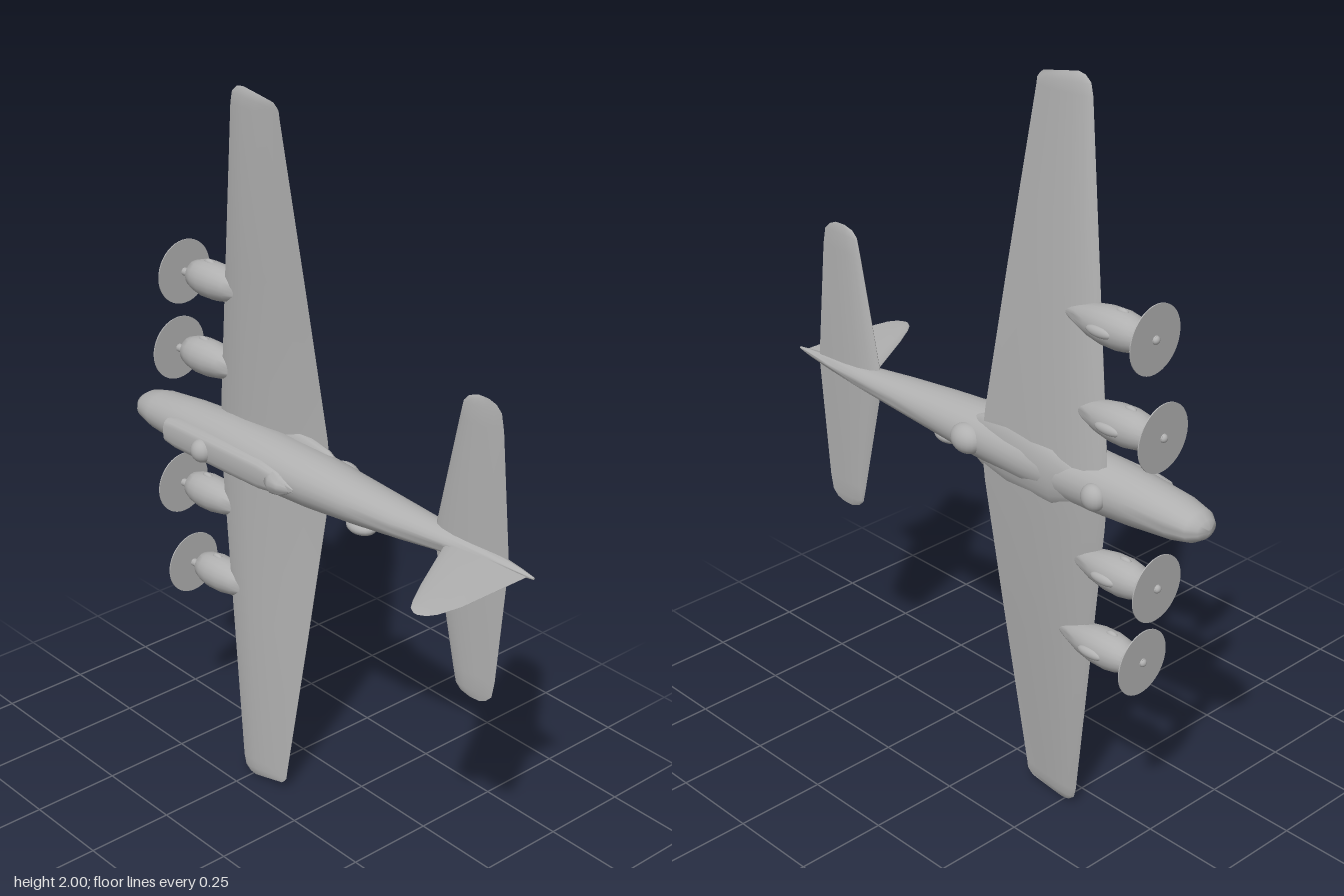
import * as THREE from 'three';
import { toCreasedNormals, mergeVertices } from 'three/addons/utils/BufferGeometryUtils.js';

// Skin a list of equal-sized closed rings, capping both ends; faces always point outward.
function loft(rings, crease = 0.6) {
  const n = rings[0].length, pos = rings.flat().flat(), idx = [];
  for (let i = 0; i < rings.length - 1; i++) {
    for (let j = 0; j < n; j++) {
      const a = i * n + j, b = i * n + (j + 1) % n;
      idx.push(a, b, b + n, a, b + n, a + n);
    }
  }
  [0, rings.length - 1].forEach((r, end) => {
    const c = pos.length / 3;
    for (let k = 0; k < 3; k++) pos.push(rings[r].reduce((s, p) => s + p[k], 0) / n);
    for (let j = 0; j < n; j++) {
      const a = r * n + j, b = r * n + (j + 1) % n;
      if (end) idx.push(a, b, c); else idx.push(b, a, c);
    }
  });
  // Signed volume tells which way the faces wind
  const v = i => new THREE.Vector3().fromArray(pos, i * 3);
  let volume = 0;
  for (let i = 0; i < idx.length; i += 3) volume += v(idx[i]).dot(v(idx[i + 1]).cross(v(idx[i + 2])));
  if (volume < 0) idx.reverse();
  const g = new THREE.BufferGeometry();
  g.setAttribute('position', new THREE.Float32BufferAttribute(pos, 3));
  g.setIndex(idx);
  return toCreasedNormals(mergeVertices(g), crease);
}

// Ring across the x axis; power below 1 squares the corners
function hoop(x, y, z, hy, hz, n = 24, power = 1) {
  const soft = t => Math.sign(t) * Math.abs(t) ** power;
  return Array.from({ length: n }, (_, i) => {
    const a = i / n * Math.PI * 2;
    return [x, y + hy * soft(Math.cos(a)), z + hz * soft(Math.sin(a))];
  });
}

// Aerofoil outline in chord fraction and half thickness
const FOIL = [[0, 0], [0.03, 0.45], [0.12, 0.85], [0.3, 1], [0.55, 0.8], [0.8, 0.38], [1, 0.03]];
const OUTLINE = [...FOIL, ...FOIL.slice(1).reverse().map(([c, t]) => [c, -t])];

// Wing panel from sections [span, xLead, xTrail, zLead, zTrail, halfThickness, tipRake]
function panel(sections, side) {
  return loft(sections.map(([y, x0, x1, z0, z1, h, rake = 0]) =>
    OUTLINE.map(([c, t]) => [x0 + (x1 - x0) * c, side * (y - rake * c), z0 + (z1 - z0) * c + h * t])), 0.5);
}

export function createModel() {
  const model = new THREE.Group();
  model.name = 'aircraft';
  const grey = new THREE.MeshStandardMaterial({ color: 0xb0b0b0 });
  grey.name = 'plain grey';

  const add = (parent, name, geometry, x = 0, y = 0, z = 0) => {
    const m = new THREE.Mesh(geometry, grey);
    m.name = name;
    m.position.set(x, y, z);
    parent.add(m);
    return m;
  };
  const blob = (parent, name, x, y, z, rx, ry, rz) =>
    add(parent, name, new THREE.SphereGeometry(1, 20, 14), x, y, z).scale.set(rx, ry, rz);

  // Fuselage: x, z centre, half width, half height
  const BODY = [
    [-0.718, -0.07, 0.006, 0.008], [-0.708, -0.071, 0.025, 0.033], [-0.685, -0.072, 0.04, 0.052],
    [-0.63, -0.073, 0.054, 0.063], [-0.5, -0.078, 0.068, 0.072], [-0.35, -0.084, 0.076, 0.08],
    [-0.18, -0.088, 0.077, 0.086], [0, -0.094, 0.07, 0.081], [0.15, -0.1, 0.058, 0.07],
    [0.3, -0.109, 0.045, 0.056], [0.45, -0.121, 0.031, 0.038], [0.58, -0.128, 0.018, 0.022],
    [0.67, -0.13, 0.009, 0.01], [0.712, -0.13, 0.003, 0.003],
  ];
  const Y = 0.006;
  add(model, 'fuselage', loft(BODY.map(([x, z, hy, hz]) => hoop(x, Y, z, hy, hz)), 0.9));

  // Long gondola along the body with its dome and tapered end
  const GONDOLA = [
    [-0.537, -0.02, 0.022, 0.026], [-0.525, -0.022, 0.036, 0.036], [-0.49, -0.024, 0.043, 0.037],
    [-0.3, -0.027, 0.043, 0.036], [-0.15, -0.031, 0.042, 0.035], [-0.08, -0.034, 0.032, 0.034],
    [-0.02, -0.036, 0.008, 0.026],
  ];
  add(model, 'gondola', loft(GONDOLA.map(([x, z, hy, hz]) => hoop(x, Y - 0.004, z, hy, hz, 20, 0.6))));
  blob(model, 'gondolaDome', -0.37, -0.002, 0.003, 0.033, 0.033, 0.031);
  const TEAR = [[-0.132, 0.004], [-0.12, 0.022], [-0.095, 0.034], [-0.065, 0.028], [-0.02, 0.003]];
  add(model, 'gunFairing', loft(TEAR.map(([x, r]) => hoop(x, 0, -0.018, r, r * 0.9, 16)), 1));

  // Turrets and blisters on the opposite face and flank
  blob(model, 'rearTurret', 0.01, Y, -0.162, 0.05, 0.04, 0.038);
  blob(model, 'forwardTurret', -0.42, Y, -0.152, 0.035, 0.035, 0.028);
  blob(model, 'sideBlister', 0.15, -0.058, -0.095, 0.046, 0.022, 0.035);

  // Main wings, tailplanes and root fillets
  const WING = [
    [0, -0.428, -0.028, -0.112, -0.149, 0.032], [0.1, -0.42, -0.038, -0.109, -0.146, 0.03],
    [0.5, -0.366, -0.08, -0.089, -0.112, 0.021], [0.95, -0.302, -0.132, -0.064, -0.077, 0.011, 0.01],
    [0.98, -0.294, -0.134, -0.063, -0.076, 0.009, 0.02], [0.995, -0.276, -0.14, -0.063, -0.074, 0.005, 0.025],
    [0.999, -0.255, -0.15, -0.064, -0.073, 0.001, 0.02],
  ];
  const TAIL = [
    [0, 0.39, 0.625, -0.116, -0.135, 0.015], [0.34, 0.464, 0.597, -0.119, -0.131, 0.009],
    [0.385, 0.474, 0.589, -0.12, -0.13, 0.007], [0.402, 0.49, 0.572, -0.121, -0.129, 0.004],
    [0.411, 0.515, 0.55, -0.124, -0.126, 0.001],
  ];
  const FILLET = [[-0.4, 0.03, 0.01], [-0.28, 0.085, 0.036], [-0.12, 0.09, 0.03], [-0.02, 0.072, 0.022], [0.06, 0.03, 0.006]];
  for (const side of [1, -1]) {
    const label = side > 0 ? 'upper' : 'lower';
    add(model, label + 'Wing', panel(WING, side));
    const tail = add(model, label + 'Tailplane', panel(TAIL, side));
    tail.position.y = Y;
  }
  add(model, 'wingRootFairing', loft(FILLET.map(([x, hy, hz]) => hoop(x, Y, -0.134, hy, hz, 20)), 1));

  // Fin: z height, leading x, trailing x, half thickness
  const FIN = [
    [-0.125, 0.43, 0.694, 0.01], [-0.08, 0.457, 0.694, 0.01], [0.09, 0.556, 0.694, 0.007],
    [0.155, 0.598, 0.683, 0.005], [0.18, 0.618, 0.67, 0.003], [0.191, 0.638, 0.652, 0.001],
  ];
  add(model, 'fin', loft(FIN.map(([z, x0, x1, h]) =>
    OUTLINE.map(([c, t]) => [x0 + (x1 - x0) * c, Y - 0.001 + t * h, z])), 0.5));

  // Engines: nacelle behind a spinning propeller disc, origin at the disc
  const NACELLE = [
    [0.024, 0.026], [0.03, 0.036], [0.055, 0.045], [0.085, 0.05], [0.13, 0.049],
    [0.175, 0.041], [0.22, 0.026], [0.26, 0.012], [0.285, 0.002],
  ];
  const nacelle = loft(NACELLE.map(([x, r]) => hoop(x, 0, -0.013, r, r, 20)), 0.7);
  const disc = new THREE.CylinderGeometry(0.088, 0.088, 0.003, 40).rotateZ(Math.PI / 2);
  const shaft = new THREE.CylinderGeometry(0.011, 0.011, 0.04, 12).rotateZ(Math.PI / 2);
  for (const [y, x, z] of [[0.435, -0.535, -0.083], [0.2025, -0.578, -0.09]]) {
    for (const side of [1, -1]) {
      const engine = new THREE.Group();
      engine.name = 'engine';
      engine.position.set(x, side * y, z);
      engine.rotation.y = 0.045;
      model.add(engine);
      add(engine, 'nacelle', nacelle);
      add(engine, 'propellerDisc', disc);
      add(engine, 'propellerShaft', shaft, 0.015);
      blob(engine, 'spinner', -0.002, 0, 0, 0.01, 0.011, 0.011);
      for (const s of [1, -1]) blob(engine, 'exhaust', 0.09, s * 0.046, -0.012, 0.018, 0.009, 0.009);
      blob(engine, 'airScoop', 0.12, 0, -0.058, 0.04, 0.014, 0.012);
    }
  }

  // Slight lean, then stand on the lower wing tip
  model.rotation.z = 0.0125;
  model.position.y = 1;
  const root = new THREE.Group();
  root.name = 'model';
  root.add(model);
  return root;
}
